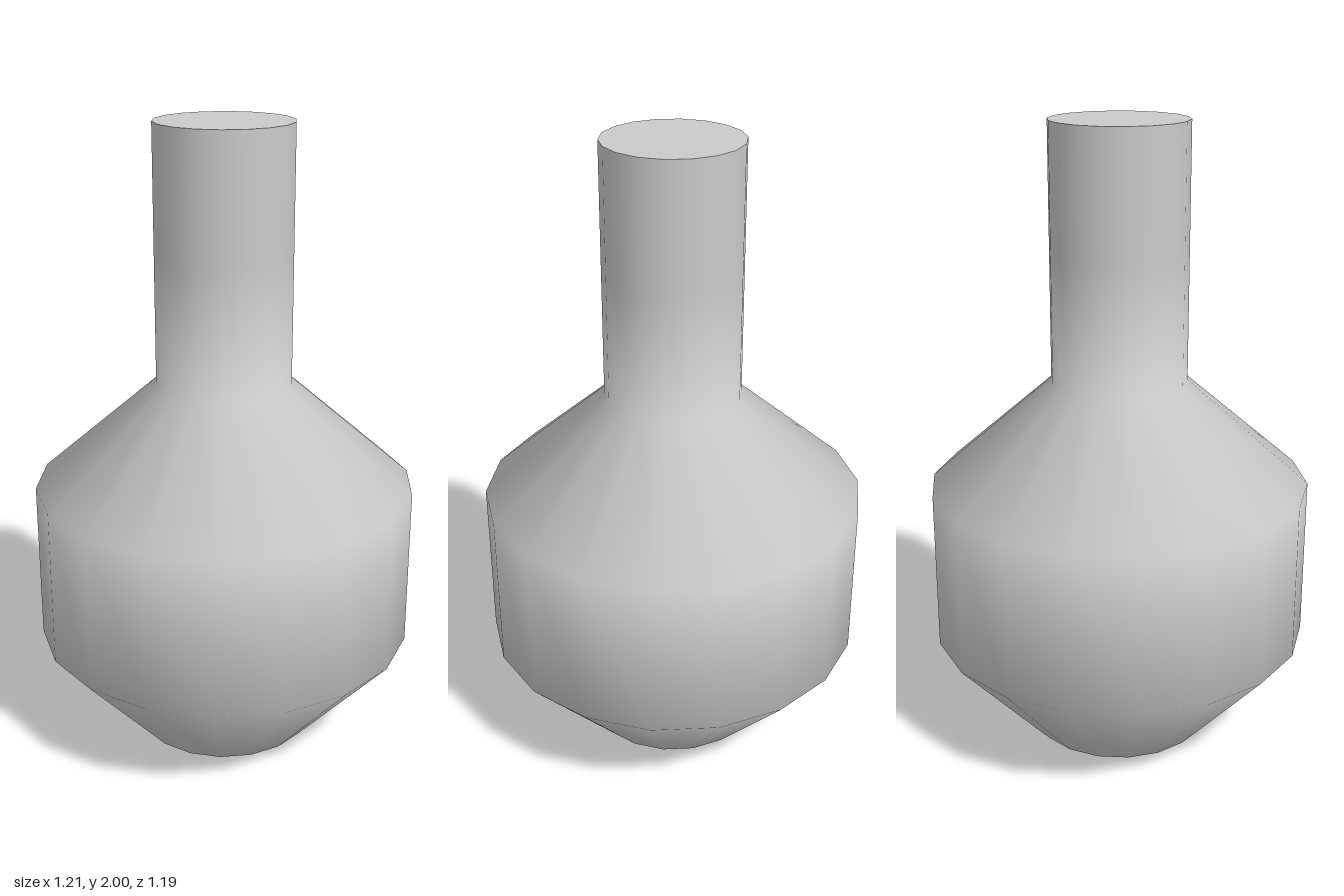
import * as THREE from 'three';

const SIDES = 18;

export function createModel() {
  const flask = new THREE.Group();
  flask.name = 'flask';
  const material = new THREE.MeshStandardMaterial({ color: 0xcccccc });

  const addPart = (name, geometry, y = 0) => {
    const mesh = new THREE.Mesh(geometry, material);
    mesh.name = name;
    mesh.position.y = y;
    flask.add(mesh);
  };

  // Tapered foot, straight belly, sloping shoulder and neck in one smooth wall
  const profile = [
    [0.29, 0], [0.605, 0.35], [0.605, 0.86], [0.215, 1.2], [0.215, 1.6], [0.215, 2],
  ].map(([r, y]) => new THREE.Vector2(r, y));
  // Start at +x so that a corner of the polygon lies on the x axis
  addPart('body', new THREE.LatheGeometry(profile, SIDES, Math.PI / 2));

  // Flat closing discs
  addPart('base', new THREE.CircleGeometry(0.29, SIDES).rotateX(Math.PI / 2));
  addPart('neckTop', new THREE.CircleGeometry(0.215, SIDES).rotateX(-Math.PI / 2), 2);

  return flask;
}
